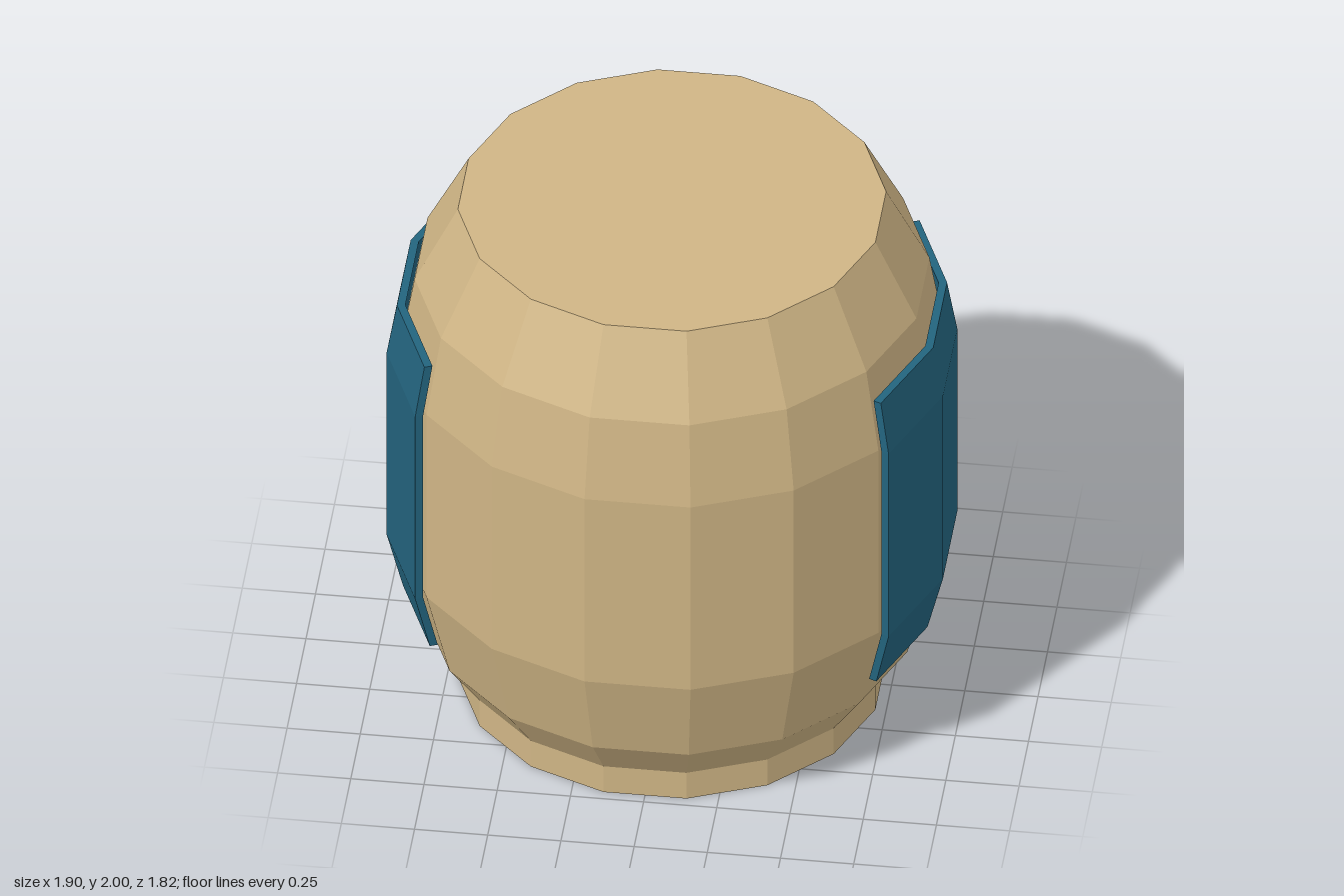
import * as THREE from 'three';

const SIDES = 16;
const STEP = (Math.PI * 2) / SIDES;
const MITRE = 1 / Math.cos(STEP / 2); // flat-face distance to corner radius

// Barrel outline: [distance of a flat face from the axis, height]
const PROFILE = [
  [0.713, 0], [0.713, 0.11], [0.825, 0.275], [0.91, 0.62],
  [0.91, 1.4], [0.857, 1.71], [0.713, 2],
];

// Face distance of the barrel at a given height
function faceDistance(y) {
  for (let i = 1; i < PROFILE.length; i++) {
    const [r0, y0] = PROFILE[i - 1];
    const [r1, y1] = PROFILE[i];
    if (y <= y1) return r0 + ((r1 - r0) * (y - y0)) / (y1 - y0);
  }
  return PROFILE[PROFILE.length - 1][0];
}

// Curved plate hugging three barrel faces on the +x side
function plateGeometry() {
  const geometry = new THREE.BoxGeometry(1, 3, 3, 1, 3, 3);
  const heights = [0.4, 0.62, 1.4, 1.6];
  const pos = geometry.attributes.position;
  for (let i = 0; i < pos.count; i++) {
    const offset = pos.getX(i) > 0 ? 0.04 : 0.012;
    const y = heights[Math.round(pos.getY(i) + 1.5)];
    const column = pos.getZ(i); // -1.5, -0.5, 0.5 or 1.5
    const angle = column * STEP;
    const base = faceDistance(y);
    if (Math.abs(column) < 1) {
      const r = (base + offset) * MITRE;
      pos.setXYZ(i, r * Math.cos(angle), y, r * Math.sin(angle));
    } else {
      // ends are cut square to the outer faces
      const normal = Math.sign(column) * STEP;
      const r = base * MITRE;
      pos.setXYZ(i, r * Math.cos(angle) + offset * Math.cos(normal), y,
        r * Math.sin(angle) + offset * Math.sin(normal));
    }
  }
  geometry.computeVertexNormals();
  return geometry;
}

export function createModel() {
  const model = new THREE.Group();
  model.name = 'barrel';

  const tan = new THREE.MeshStandardMaterial({ color: 0xcfb585, flatShading: true });
  tan.name = 'tan';
  const teal = new THREE.MeshStandardMaterial({ color: 0x23647e, flatShading: true });
  teal.name = 'teal';

  // Faceted body with closed ends and a straight foot
  const outline = [
    new THREE.Vector2(0, 0),
    ...PROFILE.map(([r, y]) => new THREE.Vector2(r * MITRE, y)),
    new THREE.Vector2(0, 2),
  ];
  const body = new THREE.Mesh(new THREE.LatheGeometry(outline, SIDES, STEP / 2), tan);
  body.name = 'body';
  model.add(body);

  // Matching side plates
  const plate = plateGeometry();
  for (const [name, turn] of [['leftPlate', 0], ['rightPlate', Math.PI]]) {
    const mesh = new THREE.Mesh(plate, teal);
    mesh.name = name;
    mesh.rotation.y = turn;
    model.add(mesh);
  }
  return model;
}
